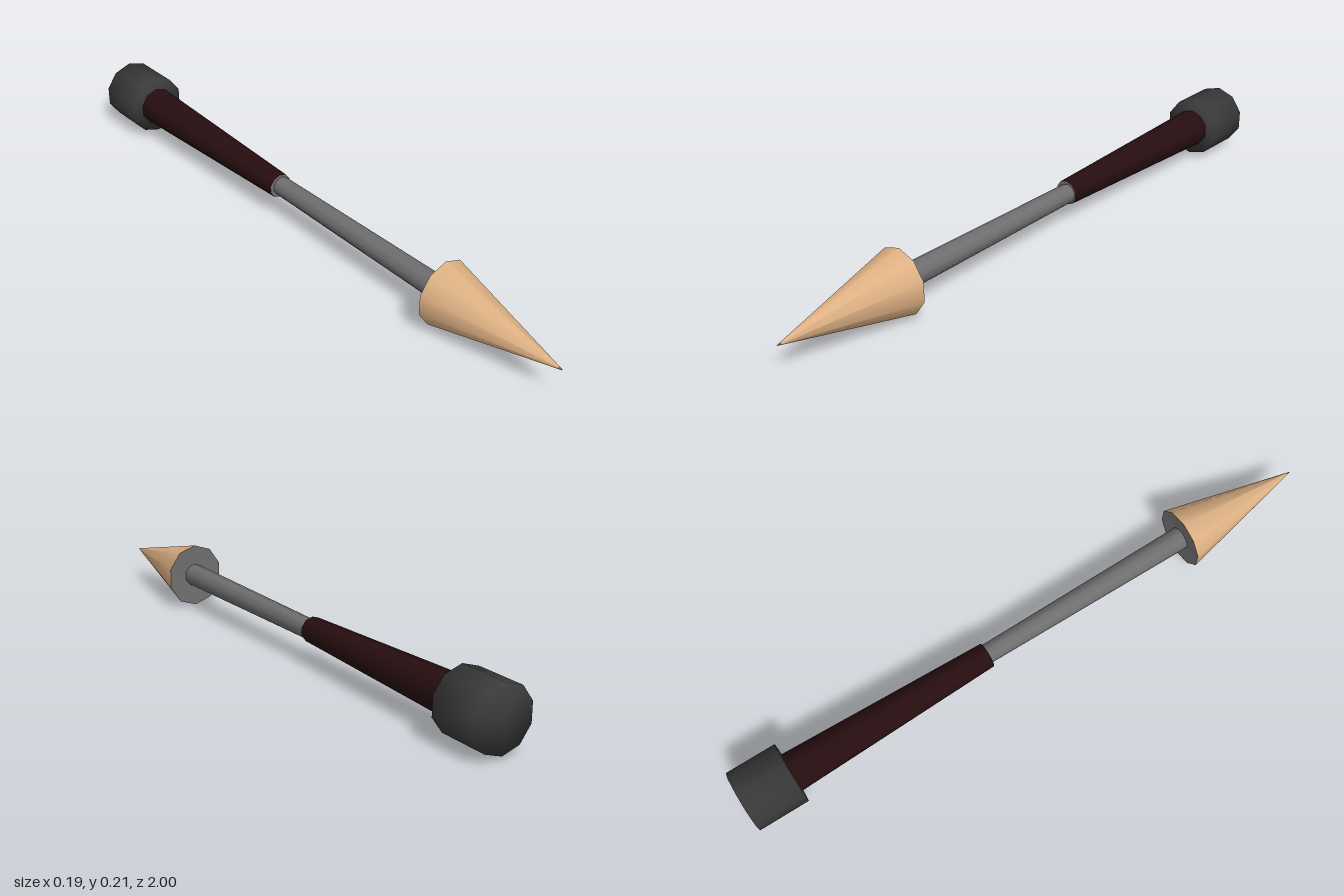
import * as THREE from 'three';

const SIDES = 10;
const material = (name, color) => {
  const m = new THREE.MeshStandardMaterial({ color });
  m.name = name;
  return m;
};

// Ten-sided turned part along z; the profile lists [radius, z] from back to front.
function turned(name, profile, mat, x, y, widthScale = 1) {
  const points = profile.map(([r, z]) => new THREE.Vector2(r, z));
  const geometry = new THREE.LatheGeometry(points, SIDES);
  geometry.rotateX(Math.PI / 2);
  geometry.scale(widthScale, 1, 1);
  const mesh = new THREE.Mesh(geometry, mat);
  mesh.name = name;
  mesh.position.set(x, y, 0);
  return mesh;
}

export function createModel() {
  const steel = material('steel grey', 0x6f6f6f);
  const iron = material('dark iron', 0x3a3a3a);
  const leather = material('dark red leather', 0x270e10);
  const wood = material('tan', 0xdeb184);

  const model = new THREE.Group();
  model.name = 'spike';
  model.add(
    // Blunt end cap, shaded softly over its rims
    turned('pommel', [[0, -1], [0.098, -1], [0.098, -0.837], [0, -0.837]], iron, -0.004, 0.109),
    // Grip narrowing towards the shaft, with a grey front collar
    turned('grip', [[0.062, -0.838], [0.04, -0.155]], leather, -0.004, 0.108),
    turned('gripCollar', [[0.04, -0.155], [0.025, -0.155]], steel, -0.004, 0.108),
    // Shaft widening slightly towards the head
    turned('shaft', [[0.031, -0.16], [0.037, 0.57]], steel, 0, 0.107),
    // Pointed head, its grey underside and tiny grey tip
    turned('headUnderside', [[0.03, 0.568], [0.105, 0.565]], steel, 0, 0.106, 0.94),
    turned('head', [[0.105, 0.565], [0.004, 0.985]], wood, 0, 0.106, 0.94),
    turned('tip', [[0.004, 0.985], [0, 1]], steel, 0, 0.106, 0.94)
  );
  return model;
}
